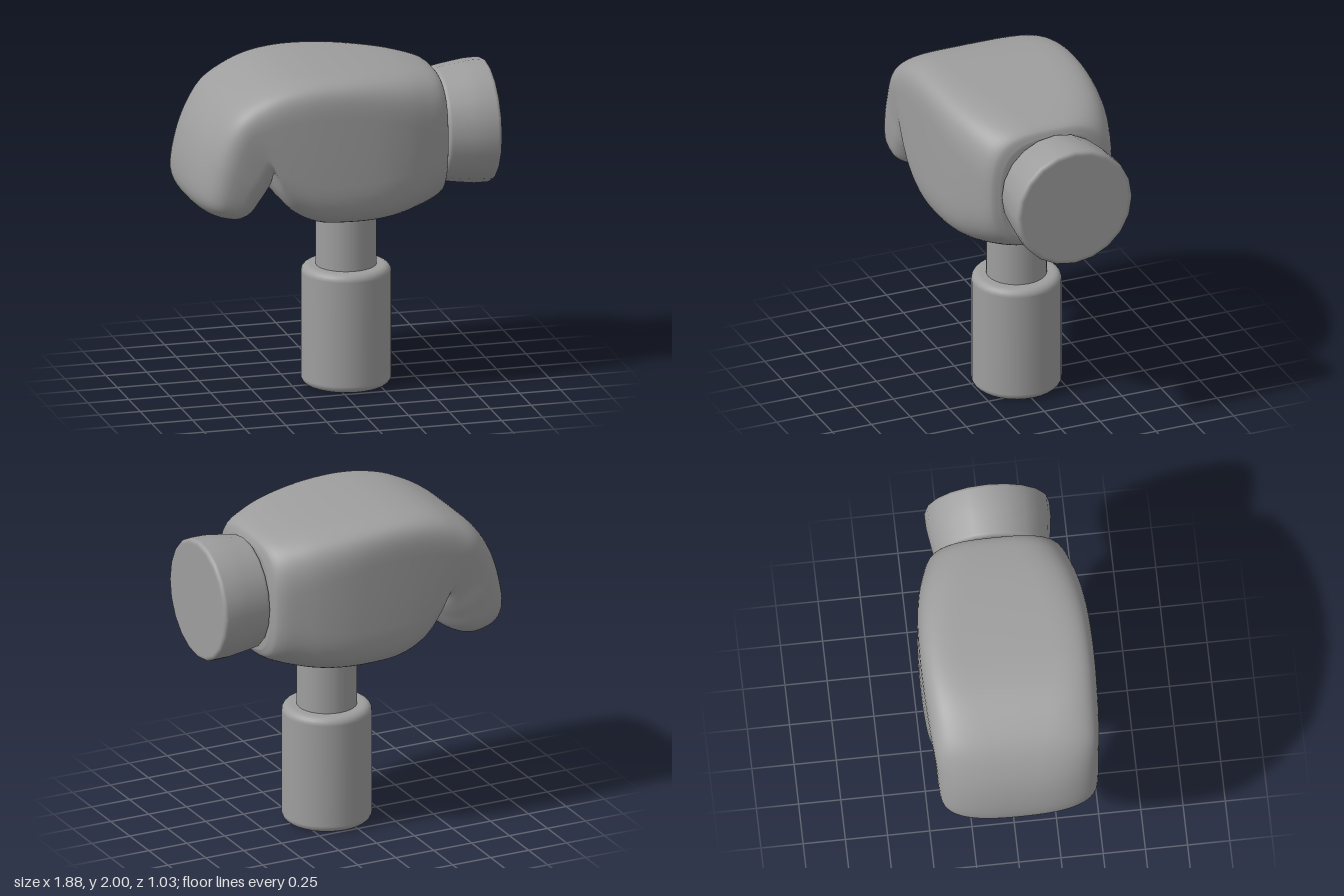
import * as THREE from 'three';

const material = new THREE.MeshStandardMaterial({ color: 0x9e9e9e });

// Head stations from striking end to claw tip:
// top x, y, bottom x, y, half width, squareness of upper and lower half
const stations = [
  [0.615, 1.86, 0.615, 1.21, 0.32, 2.8, 2.8],
  [0.59, 1.91, 0.59, 1.17, 0.385, 3.1, 3],
  [0.44, 1.955, 0.42, 1.11, 0.455, 4, 3.6],
  [0.2, 1.985, 0.22, 1.08, 0.5, 5.5, 4.4],
  [-0.05, 2.0, 0.0, 1.08, 0.513, 7, 5],
  [-0.25, 2.0, -0.2, 1.1, 0.513, 7, 5],
  [-0.42, 1.98, -0.345, 1.18, 0.507, 6, 5],
  [-0.56, 1.935, -0.415, 1.29, 0.5, 5, 5],
  [-0.72, 1.84, -0.46, 1.43, 0.49, 4, 5],
  [-0.84, 1.69, -0.47, 1.37, 0.48, 3.2, 4.5],
  [-0.91, 1.52, -0.51, 1.28, 0.475, 2.8, 3.6],
  [-0.94, 1.34, -0.555, 1.2, 0.46, 2.7, 3],
  [-0.925, 1.265, -0.58, 1.17, 0.43, 2.6, 2.7],
  [-0.88, 1.21, -0.61, 1.15, 0.37, 2.5, 2.5],
  [-0.8, 1.165, -0.65, 1.14, 0.26, 2.4, 2.4],
];

// Closed loft of rounded-square sections along the bent head
function headGeometry(rows = 70, sides = 64) {
  const curve = (f) => new THREE.CatmullRomCurve3(stations.map(f), false, 'centripetal');
  const top = curve((s) => new THREE.Vector3(s[0], s[1], 0));
  const bottom = curve((s) => new THREE.Vector3(s[2], s[3], 0));
  const size = curve((s) => new THREE.Vector3(s[4], s[5], s[6]));
  const positions = [], index = [];
  const power = (v, e) => Math.sign(v) * Math.abs(v) ** e;
  for (let k = 0; k <= rows; k++) {
    const t = k / rows;
    const T = top.getPoint(t), B = bottom.getPoint(t), S = size.getPoint(t);
    const centre = T.clone().add(B).multiplyScalar(0.5);
    const half = T.clone().sub(B).multiplyScalar(0.5);
    for (let j = 0; j < sides; j++) {
      const a = (j / sides) * Math.PI * 2;
      const e = 2 / (Math.cos(a) > 0 ? S.y : S.z);
      const p = centre.clone().addScaledVector(half, power(Math.cos(a), e));
      positions.push(p.x, p.y, S.x * power(Math.sin(a), e));
      if (k < rows) {
        const n = (j + 1) % sides, r = k * sides, q = r + sides;
        index.push(r + j, q + j, q + n, r + j, q + n, r + n);
      }
    }
  }
  // End caps
  const startCentre = positions.length / 3;
  positions.push(0.617, 1.535, 0, -0.726, 1.146, 0);
  const last = rows * sides;
  for (let j = 0; j < sides; j++) {
    const n = (j + 1) % sides;
    index.push(startCentre, j, n, startCentre + 1, last + n, last + j);
  }
  const geometry = new THREE.BufferGeometry();
  geometry.setAttribute('position', new THREE.Float32BufferAttribute(positions, 3));
  geometry.setIndex(index);
  geometry.computeVertexNormals();
  return geometry;
}

// Turned solid with rounded rims: radii at both ends, height and rim radius
function turned(r0, r1, height, rim, sides, middle = []) {
  const pts = [new THREE.Vector2(0, 0), new THREE.Vector2(r0 - rim - 0.01, 0)];
  const arc = (cx, cy, from) => {
    for (let i = 0; i <= 5; i++) {
      const a = from + (i / 5) * Math.PI / 2;
      pts.push(new THREE.Vector2(cx + rim * Math.cos(a), cy + rim * Math.sin(a)));
    }
  };
  arc(r0 - rim, rim, -Math.PI / 2);
  middle.forEach(([r, y]) => pts.push(new THREE.Vector2(r, y)));
  arc(r1 - rim, height - rim, 0);
  pts.push(new THREE.Vector2(r1 - rim - 0.01, height), new THREE.Vector2(0, height));
  return new THREE.LatheGeometry(pts, sides);
}

export function createModel() {
  const group = new THREE.Group();
  const add = (name, geometry, x, y, z) => {
    const mesh = new THREE.Mesh(geometry, material);
    mesh.name = name;
    mesh.position.set(x, y, z);
    group.add(mesh);
    return mesh;
  };

  // Swollen head with its hooked claw
  add('head', headGeometry(), 0, 0, 0);

  // Flared striking face, turned about the x axis
  const flare = [[0.352, 0.08], [0.362, 0.15], [0.37, 0.21]];
  const face = add('strikingFace', turned(0.343, 0.371, 0.318, 0.025, 20, flare), 0.62, 1.545, -0.01);
  face.rotation.z = -Math.PI / 2;

  // Shaft and thicker grip
  add('shaft', new THREE.CylinderGeometry(0.18, 0.18, 0.5, 32), 0.08, 0.93, -0.005);
  add('grip', turned(0.267, 0.267, 0.73, 0.045, 32), 0.08, 0, -0.005);

  return group;
}
